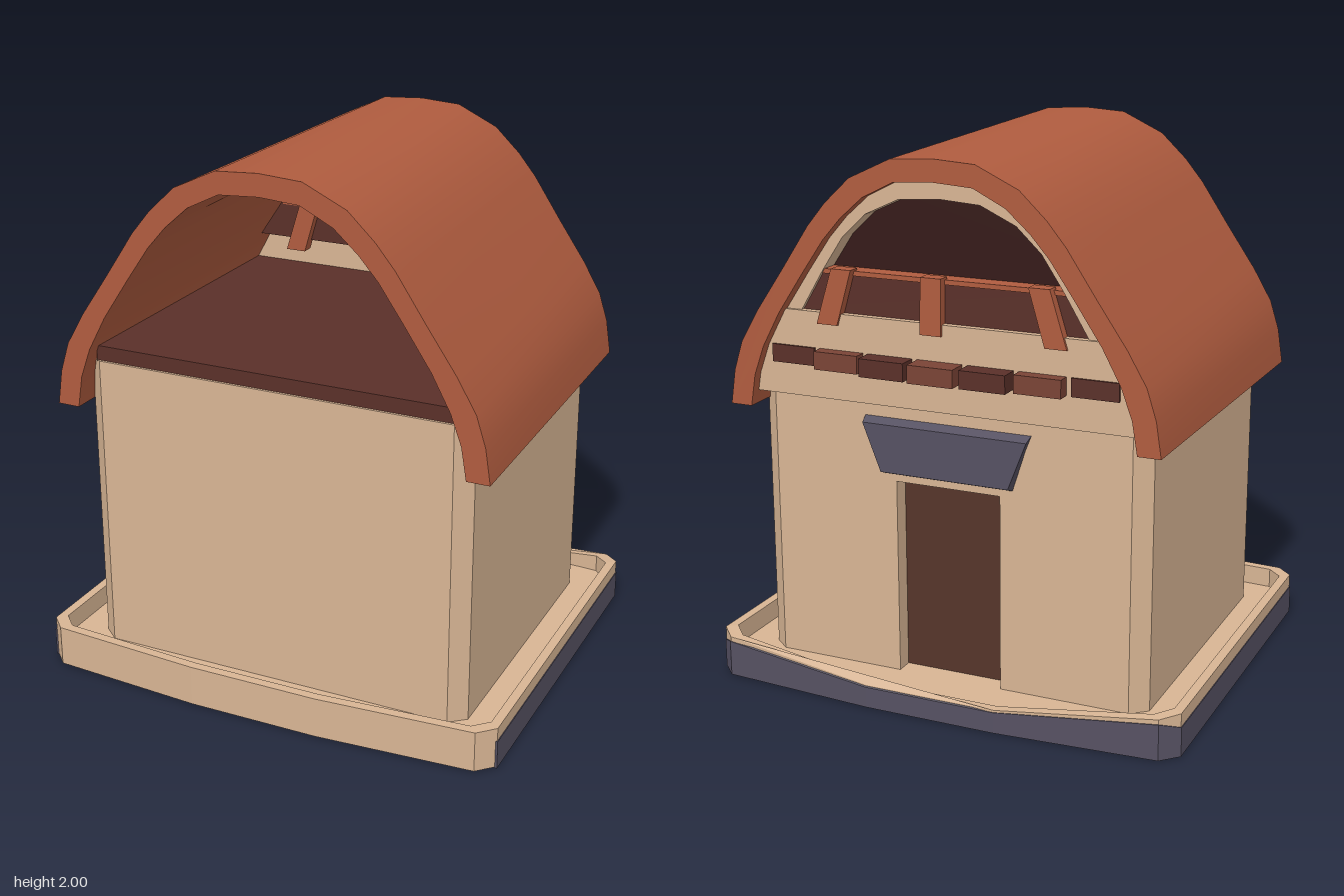
import * as THREE from 'three';
import { toCreasedNormals } from 'three/addons/utils/BufferGeometryUtils.js';

const TAN = 0xd8b594, ROOF = 0xb05c3f, BROWN = 0x5a3029, DARK = 0x351a18, SLATE = 0x565162, DOOR = 0x55352a;

export function createModel() {
  const root = new THREE.Group();
  const mats = {};
  const mat = c => mats[c] ??= new THREE.MeshStandardMaterial({ color: c, side: THREE.DoubleSide, roughness: 0.9 });
  const add = (name, geo, color, parent = root) => {
    const m = new THREE.Mesh(geo, mat(color));
    m.name = name;
    parent.add(m);
    return m;
  };
  const box = (name, color, x0, x1, y0, y1, z0, z1) => add(name,
    new THREE.BoxGeometry(x1 - x0, y1 - y0, z1 - z0).translate((x0 + x1) / 2, (y0 + y1) / 2, (z0 + z1) / 2), color);
  const shape = (pts, hole) => {
    const s = new THREE.Shape(pts.map(p => new THREE.Vector2(...p)));
    if (hole) s.holes.push(new THREE.Path(hole.map(p => new THREE.Vector2(...p))));
    return s;
  };
  // Mirror a half outline (positive x, listed toward the axis) across x = 0
  const mirror = half => [...half, ...half.filter(p => p[0] > 0).reverse().map(([x, y]) => [-x, y])];
  // Elevation outline pushed along z
  const upright = (s, z0, z1) => new THREE.ExtrudeGeometry(s, { depth: z1 - z0, bevelEnabled: false }).translate(0, 0, z0);
  // Plan outline given as [x, z], raised along y
  const plan = (pts, y0, y1, hole) => {
    const flip = a => a && a.map(([x, z]) => [x, -z]);
    return new THREE.ExtrudeGeometry(shape(flip(pts), flip(hole)), { depth: y1 - y0, bevelEnabled: false })
      .rotateX(-Math.PI / 2).translate(0, y0, 0);
  };
  const warp = (geo, rule) => {
    const p = geo.attributes.position, v = new THREE.Vector3();
    for (let i = 0; i < p.count; i++) {
      v.fromBufferAttribute(p, i);
      rule(v);
      p.setXYZ(i, v.x, v.y, v.z);
    }
    geo.computeVertexNormals();
    return geo;
  };

  // Base: rimmed terrace whose rim dips at the doorstep
  const outer = mirror([[0.25, 0.78], [0.84, 0.74], [0.9, 0.68], [0.9, -0.68], [0.84, -0.74], [0.25, -0.78]]);
  const inner = mirror([[0.25, 0.745], [0.81, 0.705], [0.865, 0.65], [0.865, -0.65], [0.81, -0.705], [0.25, -0.745]]);
  const dip = (side, middle) => v => {
    if (v.y > 0.05 && v.z < -0.7) v.y = Math.abs(v.x) < 0.5 ? middle : side;
  };
  add('terraceRim', warp(plan(outer, 0.006, 0.16, inner), dip(0.152, 0.088)), TAN);
  add('terraceFloor', plan(inner, 0.012, 0.085), TAN);

  // Slate footing around the sides and back, with a tan strip beneath
  const cut = [[0.903, 0.685], [0.903, -0.682], [0.842, -0.743], [0.25, -0.783]];
  const cutIn = [[0.25, -0.76], [0.83, -0.72], [0.88, -0.66], [0.88, 0.685]];
  const mx = a => a.map(([x, z]) => [-x, z]).reverse();
  add('footing', warp(plan([...cut, ...mx(cut), ...mx(cutIn), ...cutIn], 0.002, 0.11), dip(0.135, 0.08)), SLATE);
  add('footingUnderside', plan([...cut, ...mx(cut)], 0.002, 0.01), SLATE);
  box('undersideStrip', TAN, -0.26, 0.26, 0, 0.01, -0.55, 0.69);

  // Walls with chamfered corners and a doorway notch in the back
  add('walls', plan([[0.685, 0.61], [0.745, 0.56], [0.745, -0.56], [0.685, -0.61], [0.2, -0.61], [0.2, -0.53],
    [-0.2, -0.53], [-0.2, -0.61], [-0.685, -0.61], [-0.745, -0.56], [-0.745, 0.56], [-0.685, 0.61]], 0.08, 1.22), TAN);
  box('lintel', TAN, -0.2, 0.2, 0.81, 1.22, -0.61, -0.53);
  box('door', DOOR, -0.2, 0.2, 0.085, 0.8, -0.545, -0.53);

  // Tapered slate canopy above the door
  add('doorCanopy', warp(new THREE.BoxGeometry(0.64, 0.22, 0.05).translate(0, 0.94, -0.62), v => {
    if (v.y < 0.9) v.x *= 0.78;
    if (v.z < -0.62) { v.y += v.y > 0.9 ? -0.025 : 0.02; v.x *= 0.98; }
  }), SLATE);

  // Curved roof shell, slightly smaller toward the back
  const roofOut = [[0.835, 1.05], [0.815, 1.18], [0.78, 1.29], [0.71, 1.41], [0.6, 1.57], [0.49, 1.735],
    [0.42, 1.82], [0.32, 1.915], [0.16, 1.99], [0, 2]];
  const roofIn = [[0.75, 1.05], [0.73, 1.17], [0.69, 1.28], [0.62, 1.41], [0.52, 1.56], [0.43, 1.69],
    [0.36, 1.77], [0.27, 1.85], [0.15, 1.91], [0, 1.92]];
  const roof = warp(upright(shape([...mirror(roofOut), ...mirror(roofIn).reverse()]), -0.7, 0.66), v => {
    if (v.z < 0) { v.x *= 0.975; v.y = 1.05 + (v.y - 1.05) * 0.975; }
  });
  add('roof', toCreasedNormals(roof, 0.6), ROOF);

  // Loft floor
  box('loftFloor', BROWN, -0.7, 0.7, 1.215, 1.275, -0.66, 0.6);

  // Back gable: lower wall, arch and dark recess
  add('gableWall', upright(shape(mirror([[0.735, 1.1], [0.725, 1.17], [0.69, 1.28], [0.62, 1.41]])), -0.66, -0.59), TAN);
  const archIn = [[0.54, 1.41], [0.45, 1.56], [0.37, 1.68], [0.28, 1.765], [0.15, 1.825], [0, 1.835]];
  add('gableArch', upright(shape([...mirror(roofIn.slice(3)), ...mirror(archIn).reverse()]), -0.65, -0.49), TAN);
  add('gableRecess', upright(shape(mirror(archIn)), -0.575, -0.565), DARK);

  // Balcony rail: sloping board with three leaning posts on either face
  const rail = new THREE.BoxGeometry(1.24, 0.15, 0.15).translate(0, 1.485, -0.56);
  add('balconyRail', warp(rail, v => { if (v.y > 1.5) v.x *= 0.85; }), BROWN);
  box('railCap', ROOF, -0.5, 0.5, 1.545, 1.562, -0.64, -0.48);
  for (const x of [-0.43, 0.03, 0.43]) for (const z of [-0.645, -0.475]) {
    const post = new THREE.BoxGeometry(0.08, 0.2, 0.05).translate(x, 1.47, z);
    add('balconyPost', warp(post, v => { if (v.y > 1.5) v.x = v.x * 0.86 + (v.x - x) * 0.1; }), ROOF);
  }

  // Bowed row of joist ends under the balcony
  for (let i = -3; i <= 3; i++) {
    const z = -0.74 + 0.008 * i * i, shade = i % 2 ? BROWN : 0x7a4436;
    box('joistEnd', shade, i * 0.19 - 0.085, i * 0.19 + 0.085, 1.215, 1.28, z, -0.64);
  }
  return root;
}
